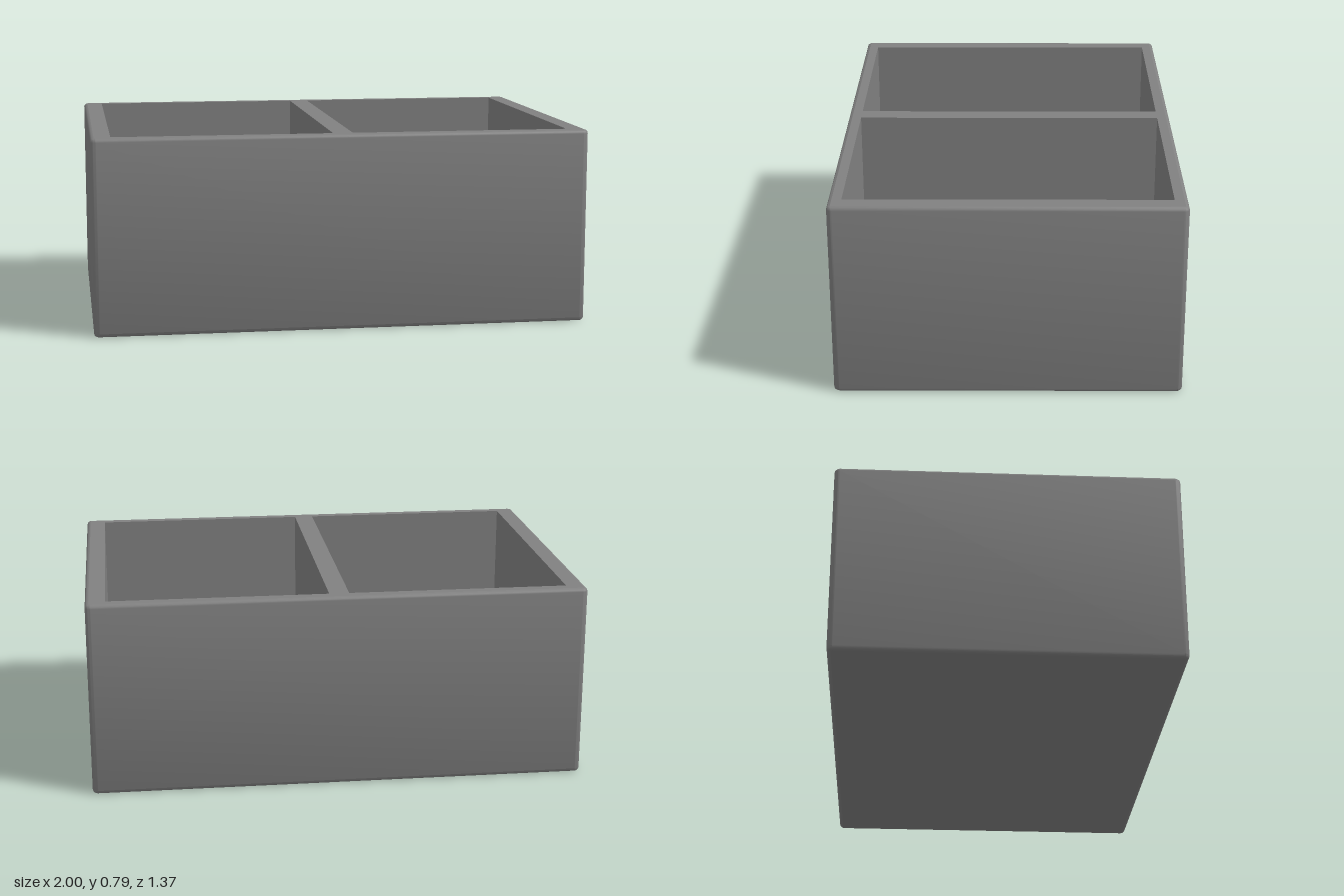
import * as THREE from 'three';
import { toCreasedNormals } from 'three/addons/utils/BufferGeometryUtils.js';

const W = 1, D = 0.685, H = 0.79;          // half width, half depth, height
const BEVEL = 0.015;
const FLOOR = 0.1, DRAIN_R = 0.127, DRAIN_Y = 0.06;
const BASIN = { x: 0.48, halfW: 0.44, halfD: 0.632 };

// Rounded rectangle outline centred on the origin
function roundedRect(hw, hd, r) {
  const s = new THREE.Shape();
  s.absarc(hw - r, hd - r, r, 0, Math.PI / 2);
  s.absarc(-hw + r, hd - r, r, Math.PI / 2, Math.PI);
  s.absarc(-hw + r, -hd + r, r, Math.PI, Math.PI * 1.5);
  s.absarc(hw - r, -hd + r, r, Math.PI * 1.5, Math.PI * 2);
  s.closePath();
  return s;
}

// Rectangular hole path
function rectPath(cx, hw, hd) {
  return new THREE.Path([[-1, -1], [-1, 1], [1, 1], [1, -1]]
    .map(([a, b]) => new THREE.Vector2(cx + a * hw, b * hd)));
}

export function createModel() {
  const model = new THREE.Group();
  model.name = 'doubleSink';
  const ceramic = new THREE.MeshStandardMaterial({ color: 0x808080, side: THREE.DoubleSide });
  ceramic.name = 'greyCeramic';

  const add = (parent, name, geometry, x = 0, y = 0, z = 0) => {
    const mesh = new THREE.Mesh(geometry, ceramic);
    mesh.name = name;
    mesh.position.set(x, y, z);
    parent.add(mesh);
    return mesh;
  };
  const flat = (shape) => new THREE.ShapeGeometry(shape, 6).rotateX(-Math.PI / 2);
  const outline = () => roundedRect(W - BEVEL, D - BEVEL, 0.008);

  // Outer walls with softened edges: the extrusion without its end caps
  const block = new THREE.ExtrudeGeometry(outline(), {
    depth: H - 2 * BEVEL, bevelSize: BEVEL, bevelThickness: BEVEL, bevelSegments: 3, curveSegments: 6,
  }).rotateX(-Math.PI / 2);
  const sides = block.groups[1];
  const shell = new THREE.BufferGeometry();
  shell.setAttribute('position', new THREE.Float32BufferAttribute(
    block.attributes.position.array.slice(sides.start * 3, (sides.start + sides.count) * 3), 3));
  add(model, 'outerWalls', toCreasedNormals(shell, 0.7), 0, BEVEL, 0);

  // Underside
  add(model, 'underside', new THREE.ShapeGeometry(outline(), 6).rotateX(Math.PI / 2));

  // Rim and central divider top, open over both basins
  const rim = outline();
  for (const s of [-1, 1]) rim.holes.push(rectPath(s * BASIN.x, BASIN.halfW, BASIN.halfD));
  add(model, 'rim', flat(rim), 0, H, 0);

  // Two basins, each with four walls, a floor and a recessed drain
  for (const s of [-1, 1]) {
    const basin = new THREE.Group();
    basin.name = s > 0 ? 'leftBasin' : 'rightBasin';
    basin.position.x = s * BASIN.x;
    const depth = H - FLOOR, midY = (H + FLOOR) / 2;
    for (let i = 0; i < 4; i++) {
      const along = i % 2 ? BASIN.halfD : BASIN.halfW;
      const away = i % 2 ? BASIN.halfW : BASIN.halfD;
      const angle = i * Math.PI / 2;
      add(basin, 'basinWall', new THREE.PlaneGeometry(2 * along, depth),
        -Math.sin(angle) * away, midY, -Math.cos(angle) * away).rotation.y = angle;
    }

    const floor = new THREE.Shape(rectPath(0, BASIN.halfW, BASIN.halfD).getPoints());
    const drainX = s * 0.007;
    const hole = new THREE.Path();
    hole.absarc(drainX, 0, DRAIN_R, 0, Math.PI * 2);
    floor.holes.push(hole);
    add(basin, 'basinFloor', new THREE.ShapeGeometry(floor, 24).rotateX(-Math.PI / 2), 0, FLOOR, 0);
    add(basin, 'drainWall',
      new THREE.CylinderGeometry(DRAIN_R, DRAIN_R, FLOOR - DRAIN_Y, 48, 1, true),
      drainX, (FLOOR + DRAIN_Y) / 2, 0);
    add(basin, 'drainBottom', new THREE.CircleGeometry(DRAIN_R, 48).rotateX(-Math.PI / 2),
      drainX, DRAIN_Y, 0);
    model.add(basin);
  }
  return model;
}
